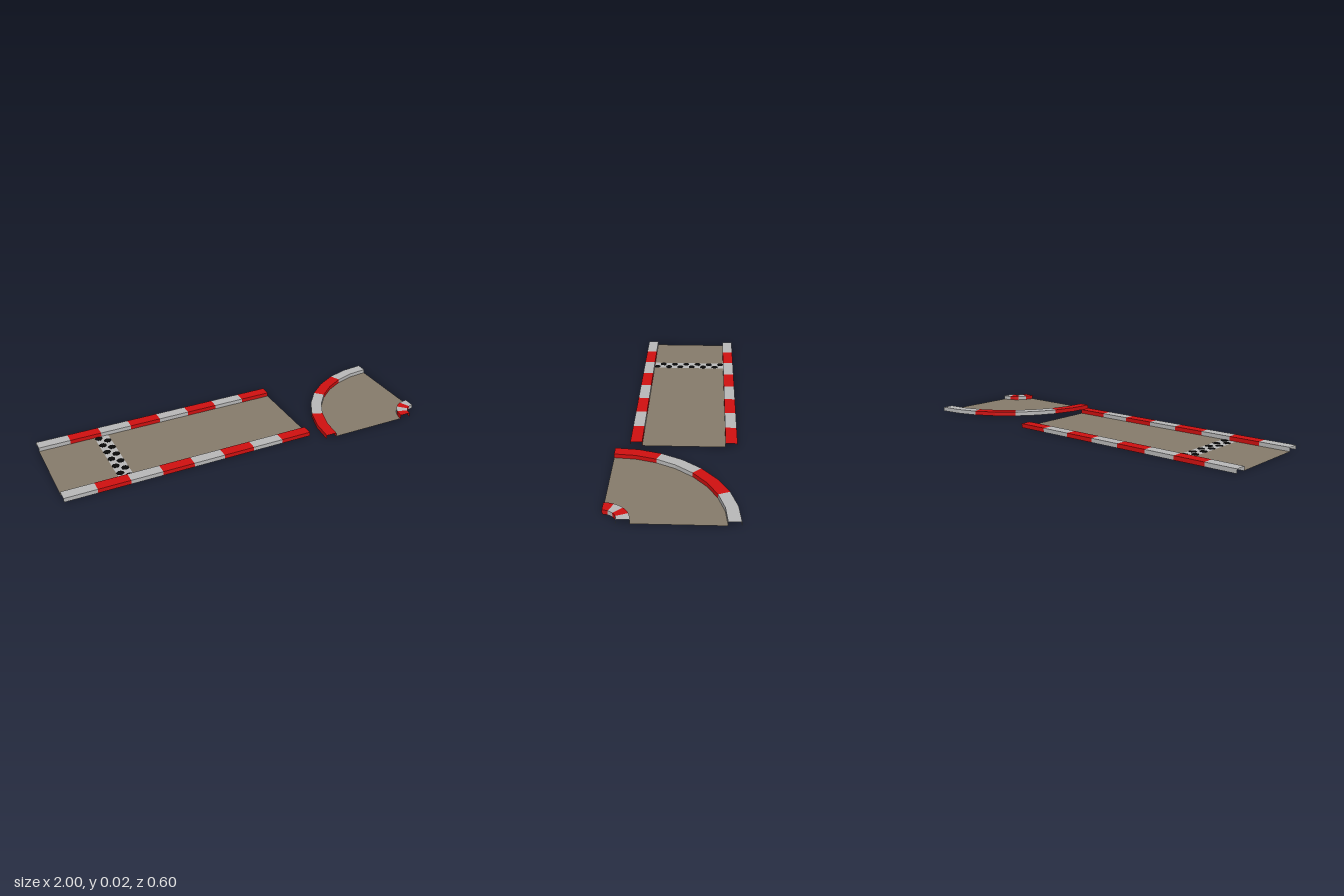
import * as THREE from 'three';

const mat = (name, color) => {
  const m = new THREE.MeshStandardMaterial({ color, side: THREE.DoubleSide });
  m.name = name;
  return m;
};

const KERB_H = 0.022, FLOOR_Y = 0.001;
const X0 = -1, X1 = 0.333;                    // straight length
const Z = [-0.302, -0.243, 0.175, 0.234];     // straight kerb edges
const CX = 1, CZ = 0.302;                     // bend centre
const R = [0.604, 0.545, 0.127, 0.068];       // bend kerb edges

// Joins successive cross-sections (arrays of points) into flat-shaded faces
function ribbon(sections) {
  const pos = [];
  for (let i = 0; i + 1 < sections.length; i++) {
    const s = sections[i], t = sections[i + 1];
    for (let j = 0; j + 1 < s.length; j++) {
      pos.push(...s[j], ...s[j + 1], ...t[j + 1], ...s[j], ...t[j + 1], ...t[j]);
    }
  }
  const g = new THREE.BufferGeometry();
  g.setAttribute('position', new THREE.Float32BufferAttribute(pos, 3));
  g.computeVertexNormals();
  return g;
}

// Ground positions for an edge: side offset on the straight, radius on the bend
const onStraight = (t, z) => [X0 + (X1 - X0) * t, z];
const onBend = (t, r) => {
  const a = t * Math.PI / 2;
  return [CX - r * Math.cos(a), CZ - r * Math.sin(a)];
};

// Open channel: outer wall, top, inner wall
const kerbSection = (at, t, a, b) => {
  const [ax, az] = at(t, a), [bx, bz] = at(t, b);
  return [[ax, 0, az], [ax, KERB_H, az], [bx, KERB_H, bz], [bx, 0, bz]];
};
const floorSection = (at, t, a, b) => {
  const [ax, az] = at(t, a), [bx, bz] = at(t, b);
  return [[ax, FLOOR_Y, az], [bx, FLOOR_Y, bz]];
};

function sweep(section, at, t0, t1, steps, a, b) {
  const list = [];
  for (let i = 0; i <= steps; i++) list.push(section(at, t0 + (t1 - t0) * i / steps, a, b));
  return ribbon(list);
}

export function createModel() {
  const white = mat('kerb white', 0xb8b8b8);
  const red = mat('kerb red', 0xd01010);
  const asphalt = mat('track surface', 0x867b6b);
  const black = mat('checker black', 0x080808);

  const model = new THREE.Group();
  model.name = 'raceTrackPieces';
  const add = (parent, name, geo, material) => {
    const m = new THREE.Mesh(geo, material);
    m.name = name;
    parent.add(m);
    return m;
  };

  // Kerb of alternating coloured blocks
  const kerb = (parent, name, at, a, b, blocks, steps, colours) => {
    const g = new THREE.Group();
    g.name = name;
    parent.add(g);
    for (let i = 0; i < blocks; i++) {
      add(g, 'kerbBlock', sweep(kerbSection, at, i / blocks, (i + 1) / blocks, steps, a, b), colours[i % 2]);
    }
  };

  // Straight piece, its surface split around the start line
  const straight = new THREE.Group();
  straight.name = 'straightTrack';
  model.add(straight);
  kerb(straight, 'backKerb', onStraight, Z[0], Z[1], 8, 1, [white, red]);
  kerb(straight, 'frontKerb', onStraight, Z[2], Z[3], 8, 1, [white, red]);
  const lineX0 = -0.705, lineX1 = -0.63;
  const tOf = x => (x - X0) / (X1 - X0);
  const strip = (name, x0, x1, m) =>
    add(straight, name, sweep(floorSection, onStraight, tOf(x0), tOf(x1), 1, Z[1], Z[2]), m);
  strip('roadBeforeLine', X0, lineX0, asphalt);
  strip('startLine', lineX0, lineX1, white);
  strip('roadAfterLine', lineX1, X1, asphalt);

  // Staggered octagonal checks, visible from above and below
  const rows = 12, cw = (lineX1 - lineX0) / 2, cd = (Z[2] - Z[1]) / rows;
  const check = new THREE.CylinderGeometry(1, 1, 2 * FLOOR_Y, 8);
  check.rotateY(Math.PI / 8);
  const fit = 0.5 / Math.cos(Math.PI / 8);
  check.scale(cw * fit, 1, cd * fit);
  for (let i = 0; i < rows; i++) {
    add(straight, 'check', check, black)
      .position.set(lineX0 + cw * (i % 2 + 0.5), FLOOR_Y, Z[1] + cd * (i + 0.5));
  }

  // Quarter bend
  const bend = new THREE.Group();
  bend.name = 'bendTrack';
  model.add(bend);
  kerb(bend, 'outerKerb', onBend, R[0], R[1], 4, 2, [red, white]);
  kerb(bend, 'innerKerb', onBend, R[2], R[3], 4, 2, [red, white]);
  add(bend, 'bendRoad', sweep(floorSection, onBend, 0, 1, 8, R[1], R[2]), asphalt);

  return model;
}
